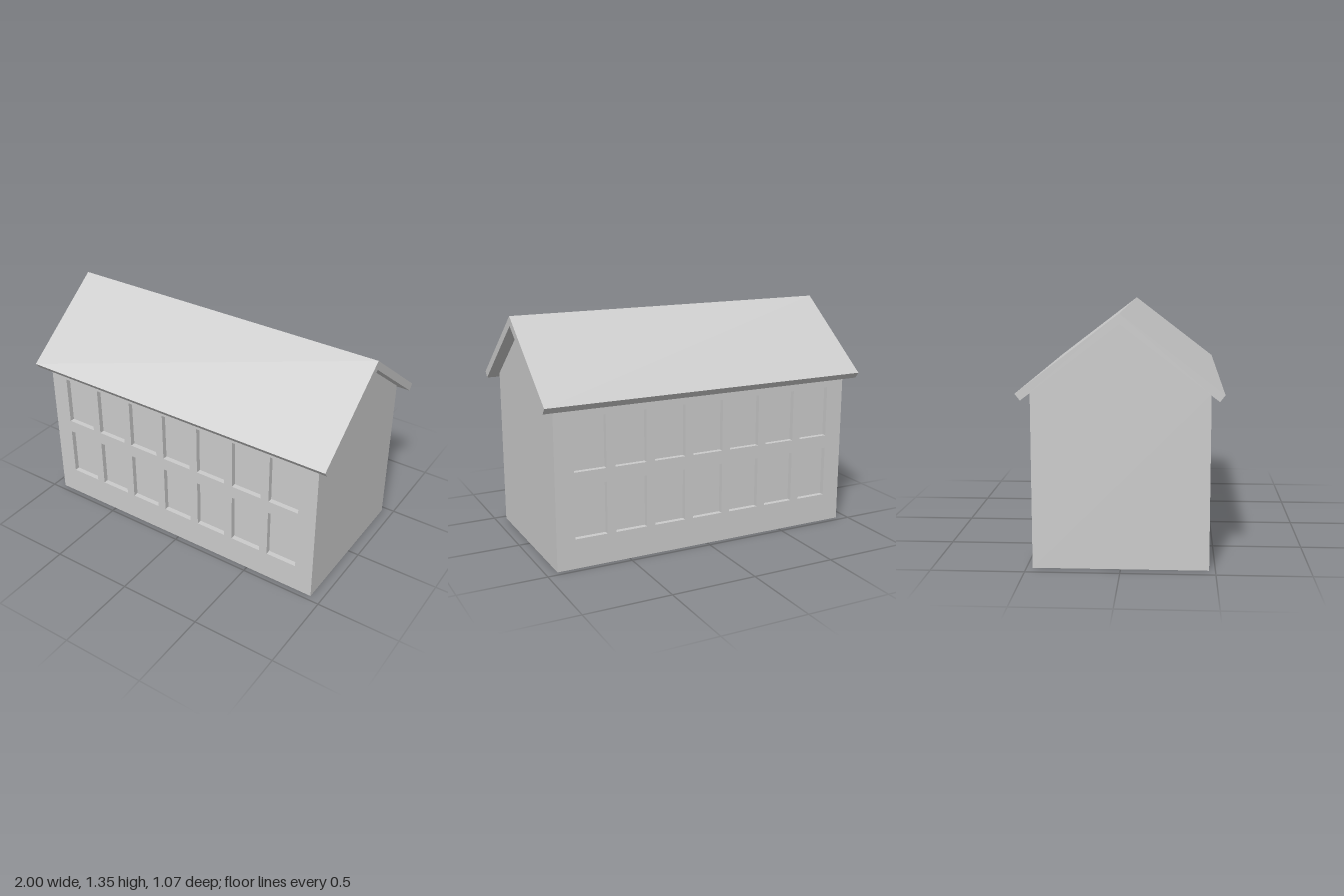
import * as THREE from 'three';

const HALF_X = 0.933, HALF_Z = 0.467;   // wall planes
const EAVE = 0.938, RIDGE = 1.295;      // wall top and gable peak
const WIN_W = 0.19, WIN_H = 0.303, RECESS = 0.03;
const COLS = 7, PITCH = 0.2425, ROWS = [0.324, 0.706];

const material = new THREE.MeshStandardMaterial({ color: 0xcccccc, side: THREE.DoubleSide });

function polygon(points) {
  return new THREE.Shape(points.map(([x, y]) => new THREE.Vector2(x, y)));
}

function mesh(name, geometry) {
  const m = new THREE.Mesh(geometry, material);
  m.name = name;
  return m;
}

// Centres of all windows on one long wall
function windowCentres() {
  const list = [];
  for (const y of ROWS)
    for (let i = 0; i < COLS; i++) list.push([(i - (COLS - 1) / 2) * PITCH, y]);
  return list;
}

// Shallow box open towards +z
function recessGeometry() {
  const g = new THREE.BoxGeometry(WIN_W, WIN_H, RECESS);
  const index = Array.from(g.index.array);
  index.splice(24, 6); // drop the outer face
  g.setIndex(index);
  g.clearGroups();
  return g;
}

// Long wall with two rows of recessed windows, facing +z
function longWall(name) {
  const wall = new THREE.Group();
  wall.name = name;
  const shape = polygon([[-HALF_X, 0], [HALF_X, 0], [HALF_X, EAVE], [-HALF_X, EAVE]]);
  const recess = recessGeometry();
  const w = WIN_W / 2, h = WIN_H / 2;
  for (const [x, y] of windowCentres()) {
    shape.holes.push(polygon([[x - w, y - h], [x - w, y + h], [x + w, y + h], [x + w, y - h]]));
    const pane = mesh('windowRecess', recess);
    pane.position.set(x, y, HALF_Z - RECESS / 2);
    wall.add(pane);
  }
  const panel = mesh('wallPanel', new THREE.ShapeGeometry(shape));
  panel.position.z = HALF_Z;
  wall.add(panel);
  return wall;
}

export function createModel() {
  const house = new THREE.Group();
  house.name = 'house';

  // Front and back walls
  const front = longWall('frontWall');
  const back = longWall('backWall');
  back.rotation.y = Math.PI;
  house.add(front, back);

  // Gable end walls
  const gable = new THREE.ShapeGeometry(polygon([
    [-HALF_Z, 0], [HALF_Z, 0], [HALF_Z, EAVE], [0, RIDGE], [-HALF_Z, EAVE],
  ]));
  for (const [name, side] of [['leftGable', 1], ['rightGable', -1]]) {
    const end = mesh(name, gable);
    end.rotation.y = side * Math.PI / 2;
    end.position.x = side * HALF_X;
    house.add(end);
  }

  // Pitched roof slab overhanging all sides
  const roof = mesh('roof', new THREE.ExtrudeGeometry(polygon([
    [0, 1.35], [-0.534, 0.942], [-0.507, 0.907], [0, RIDGE], [0.507, 0.907], [0.534, 0.942],
  ]), { depth: 2, bevelEnabled: false }));
  roof.rotation.y = Math.PI / 2;
  roof.position.x = -1;
  house.add(roof);

  return house;
}
